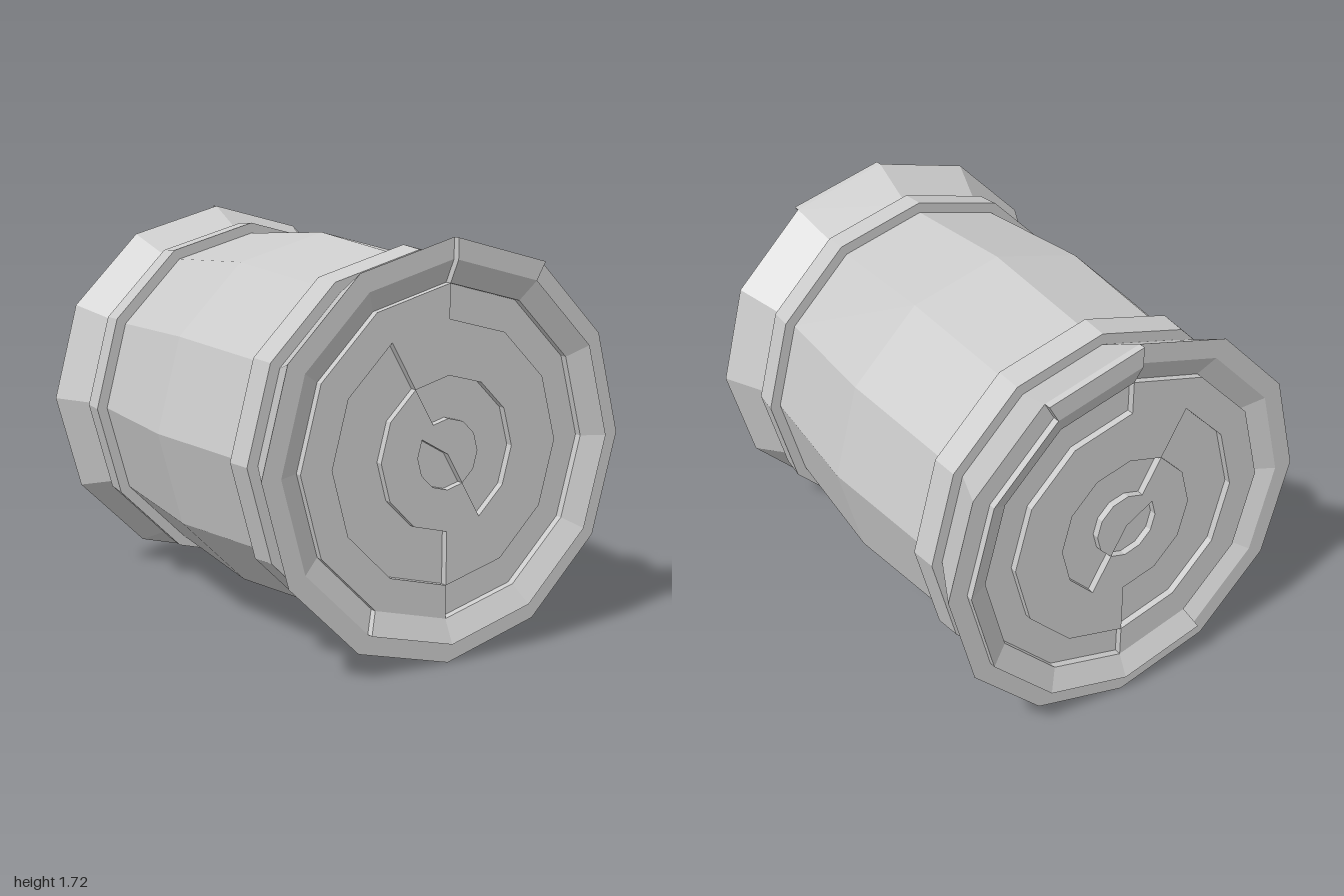
import * as THREE from 'three';

const SIDES = 12, STEP = 0.03, CENTRE_Y = 0.86;
const material = new THREE.MeshStandardMaterial({ color: 0xcccccc, flatShading: true });

// Twelve-sided turned surface lying along z; profile is [radius, z] from back to front
function turned(name, profile) {
  const points = profile.map(([r, z]) => new THREE.Vector2(r, z));
  const geometry = new THREE.LatheGeometry(points, SIDES).toNonIndexed();
  geometry.rotateX(Math.PI / 2);
  geometry.computeVertexNormals();
  const mesh = new THREE.Mesh(geometry, material);
  mesh.name = name;
  return mesh;
}

// Rings of the end face: inner/outer radius and height, first raised sector and how many are raised
const RINGS = [
  { r0: 0, r1: 0.145, z0: 0.95, z1: 0.95, from: 10, count: 7 },
  { r0: 0.145, r1: 0.317, z0: 0.95, z1: 0.95, from: 4, count: 6 },
  { r0: 0.317, r1: 0.54, z0: 0.95, z1: 0.95, from: 9, count: 7 },
  { r0: 0.54, r1: 0.68, z0: 0.95, z1: 0.95, from: 3, count: 6 },
  { r0: 0.68, r1: 0.775, z0: 0.95, z1: 1, from: 8, count: 7 },
  { r0: 0.775, r1: 0.86, z0: 1, z1: 1, from: 2, count: 1 },
];

// Stepped spiral end; side is 1 for the front and -1 for its mirror at the back
function spiralEnd(name, side) {
  const positions = [];
  const point = (r, sector, z) => {
    const a = (sector * Math.PI * 2) / SIDES;
    return [r * Math.cos(a), r * Math.sin(a), z * side];
  };
  const triangle = (a, b, c) => positions.push(...a, ...(side > 0 ? b : c), ...(side > 0 ? c : b));
  const quad = (a, b, c, d) => { triangle(a, b, c); triangle(a, c, d); };
  const drop = (ring, s) => ((s - ring.from + 2 * SIDES) % SIDES < ring.count ? 0 : STEP);

  RINGS.forEach((ring, i) => {
    const { r0, r1, z0, z1 } = ring;
    for (let s = 0; s < SIDES; s++) {
      const d = drop(ring, s), before = drop(ring, s - 1);
      // top of the sector
      if (r0 === 0) triangle(point(0, s, z0 - d), point(r1, s, z1 - d), point(r1, s + 1, z1 - d));
      else quad(point(r0, s, z0 - d), point(r1, s, z1 - d), point(r1, s + 1, z1 - d), point(r0, s + 1, z0 - d));
      // step between neighbouring sectors
      if (d !== before) {
        quad(point(r0, s, z0 - d), point(r0, s, z0 - before), point(r1, s, z1 - before), point(r1, s, z1 - d));
      }
      // step to the next ring, or to the flared edge
      const next = RINGS[i + 1];
      const here = z1 - d, there = next ? next.z0 - drop(next, s) : 1 - STEP;
      if (Math.abs(here - there) > 1e-6) {
        quad(point(r1, s, here), point(r1, s, there), point(r1, s + 1, there), point(r1, s + 1, here));
      }
    }
  });

  const geometry = new THREE.BufferGeometry();
  geometry.setAttribute('position', new THREE.Float32BufferAttribute(positions, 3));
  geometry.computeVertexNormals();
  const mesh = new THREE.Mesh(geometry, material);
  mesh.name = name;
  return mesh;
}

export function createModel() {
  const model = new THREE.Group();
  model.name = 'rolledBarrel';
  const roll = new THREE.Group();
  roll.name = 'roll';
  roll.position.y = CENTRE_Y;
  model.add(roll);

  // Bulging middle
  roll.add(turned('body', [[0.755, -0.63], [0.806, 0], [0.755, 0.63]]));

  const flare = [[0.745, 0.74], [0.86, 0.97]];
  const band = [[0.74, 0.625], [0.803, 0.625], [0.793, 0.742], [0.74, 0.742]];
  for (const side of [1, -1]) {
    const label = side > 0 ? 'front' : 'back';
    const mirror = (p) => (side > 0 ? p : p.map(([r, z]) => [r, -z]).reverse());
    roll.add(turned(label + 'Flare', mirror(flare)));
    roll.add(turned(label + 'Band', mirror(band)));
    roll.add(spiralEnd(label + 'SpiralEnd', side));
  }
  return model;
}
